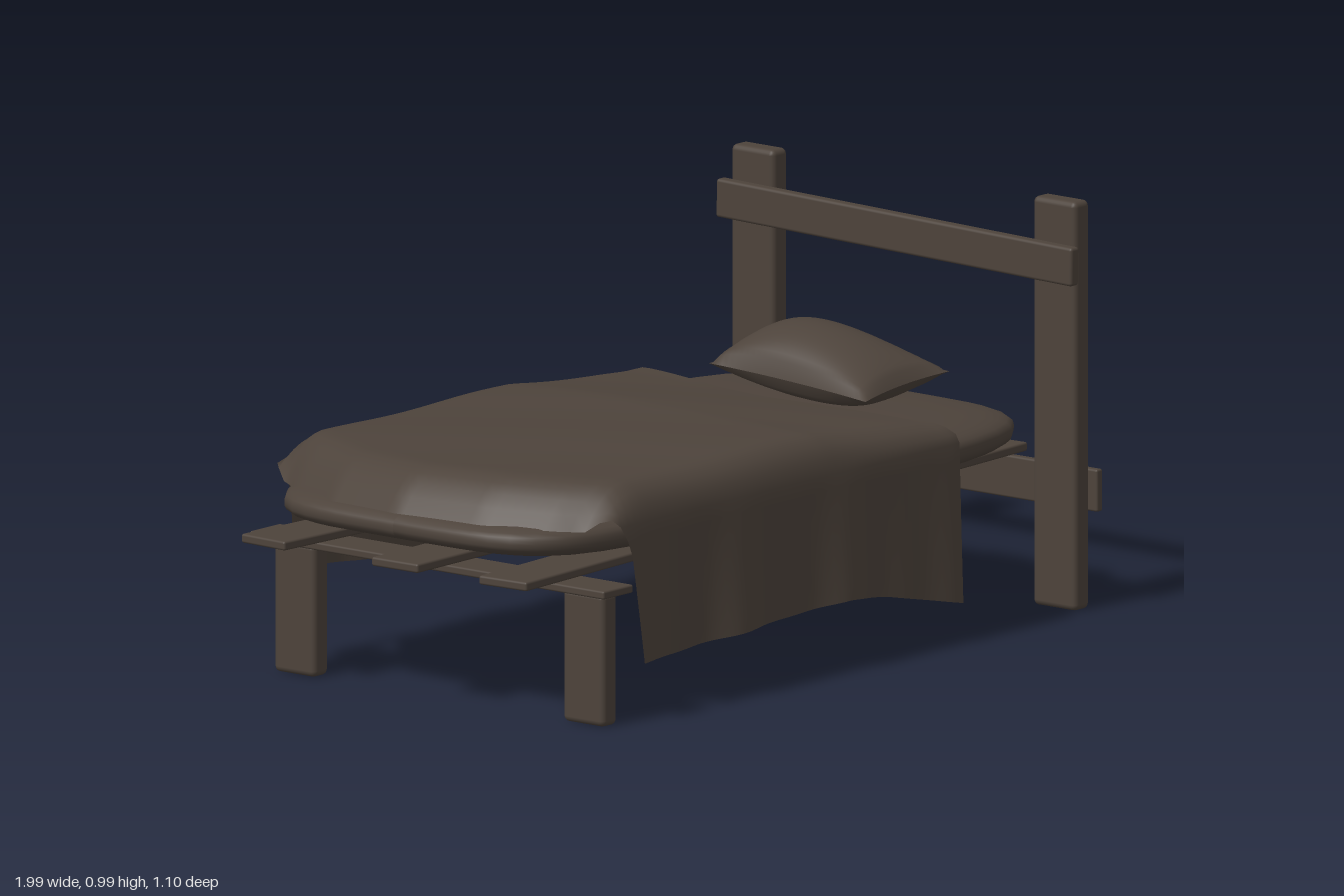
import * as THREE from 'three';
import { RoundedBoxGeometry } from 'three/addons/geometries/RoundedBoxGeometry.js';

const { lerp, clamp } = THREE.MathUtils;

// Piecewise linear lookup through [position, value] stops
function along(stops, t) {
  for (let i = 1; i < stops.length; i++) {
    const [a, va] = stops[i - 1], [b, vb] = stops[i];
    if (t <= b) return lerp(va, vb, clamp((t - a) / (b - a), 0, 1));
  }
  return stops[stops.length - 1][1];
}

// Sheet whose vertices follow rule(u, v) with u and v in -1..1
function sheet(nu, nv, rule) {
  const geo = new THREE.PlaneGeometry(2, 2, nu, nv);
  const p = geo.attributes.position;
  for (let i = 0; i < p.count; i++) p.setXYZ(i, ...rule(p.getX(i), p.getY(i)));
  geo.computeVertexNormals();
  return geo;
}

export function createModel() {
  const model = new THREE.Group();
  const brown = new THREE.MeshStandardMaterial({ color: 0x4d433b, side: THREE.DoubleSide });
  brown.name = 'dark brown';

  function add(name, geo, x = 0, y = 0, z = 0) {
    const mesh = new THREE.Mesh(geo, brown);
    mesh.name = name;
    mesh.position.set(x, y, z);
    model.add(mesh);
    return mesh;
  }
  const plank = (name, w, h, d, x, y, z) =>
    add(name, new RoundedBoxGeometry(w, h, d, 2, Math.min(w, h, d) * 0.25), x, y, z);

  // Headboard posts and foot legs
  for (const [z, legZ] of [[0.455, 0.445], [-0.47, -0.44]]) {
    plank('headPost', 0.056, 0.985, 0.132, 0.922, 0.4925, z);
    plank('footLeg', 0.056, 0.32, 0.125, -0.803, 0.16, legZ);
  }

  // Cross rails
  plank('upperRail', 0.03, 0.093, 1.09, 0.872, 0.848, -0.005).rotation.x = 0.02;
  plank('lowerRail', 0.022, 0.102, 1.09, 0.963, 0.282, -0.005).rotation.x = -0.004;
  plank('footRail', 0.11, 0.02, 1.085, -0.803, 0.326, -0.01);

  // Slats, fanned slightly along the bed
  for (const [footZ, headZ] of [[-0.4, -0.29], [0.005, -0.035], [0.335, 0.22]]) {
    plank('slat', 1.99, 0.022, 0.14, 0, 0.351, (footZ + headZ) / 2)
      .rotation.y = -Math.atan2(headZ - footZ, 2);
  }

  // Mattress: a sphere squared off into a soft slab
  const mattress = new THREE.SphereGeometry(1, 72, 32);
  const mp = mattress.attributes.position;
  for (let i = 0; i < mp.count; i++) {
    const x = mp.getX(i), y = mp.getY(i), z = mp.getZ(i);
    const plan = Math.abs(x) ** 5 + Math.abs(z) ** 5;
    const k = (plan ** 0.6 + Math.abs(y) ** 3) ** (-1 / 3);
    mp.setXYZ(i, x * k * 0.945, y * k * 0.068, z * k * 0.492);
  }
  mattress.computeVertexNormals();
  add('mattress', mattress, -0.04, 0.437, -0.008);

  // Blanket: crowned top, rounded shoulders, hanging sides
  const footEdge = [[0, -0.985], [0.3, -0.95], [0.52, -0.88], [0.65, -0.81], [0.75, -0.74], [1, -0.715]];
  const headEdge = {
    front: [[0, 0.385], [0.55, 0.42], [0.68, 0.475], [1, 0.46]],
    back: [[0, 0.385], [0.2, 0.41], [0.6, 0.485], [1, 0.51]],
  };
  const hem = {
    front: [[-0.72, 0.14], [0.05, 0.17], [0.2, 0.15], [0.46, 0.095]],
    back: [[-0.72, 0.22], [0, 0.18], [0.5, 0.14]],
  };
  add('blanket', sheet(48, 60, (u, v) => {
    const a = Math.abs(v), side = v < 0 ? 'front' : 'back', s = v < 0 ? 1 : -1;
    const x0 = along(footEdge, a);
    const x = lerp(x0, along(headEdge[side], a), (u + 1) / 2);
    const footDrop = 0.1 * Math.max(0, 1 - (x - x0) / 0.14) ** 2 * clamp((0.72 - a) / 0.12, 0, 1);
    const ripple = 0.003 * Math.sin(x * 11 + v * 5);
    const top = along([[-1, 0.57], [-0.7, 0.573], [0, 0.573], [0.42, 0.53]], x) - footDrop + ripple;
    const fold = Math.sin(x * 17 + s) + 0.5 * Math.sin(x * 31);
    let y, z;
    if (a < 0.58) {
      z = a / 0.58 * 0.44;
      y = top - 0.008 * (a / 0.58) ** 2;
    } else if (a < 0.7) {
      const q = (a - 0.58) / 0.12 * Math.PI / 2;
      z = 0.44 + 0.08 * Math.sin(q);
      y = lerp(0.475, top - 0.008, Math.cos(q));
    } else {
      const k = (a - 0.7) / 0.3;
      z = 0.52 + k * (0.014 + 0.009 * fold);
      y = lerp(0.475, along(hem[side], x), k);
    }
    return [x, y, s * z - 0.004];
  }));

  // Pillow: two bulging faces with pulled-out corners, fuller toward the back
  for (const s of [1, -1]) {
    add(s > 0 ? 'pillowTop' : 'pillowUnderside', sheet(24, 28, (u, v) => {
      const x = 0.605 + 0.155 * u * (1 - 0.09 * (1 - v * v));
      const z = 0.008 - s * 0.24 * v * (1 - 0.07 * (1 - u * u));
      const puff = Math.sqrt(Math.max(0, (1 - u * u) * (1 - v * v)));
      const seam = 0.568 - 0.06 * z + 0.012 * u;
      const rise = 0.095 - 0.11 * z;
      return [x, seam + puff * (s > 0 ? rise : -0.07), z];
    }));
  }

  return model;
}
